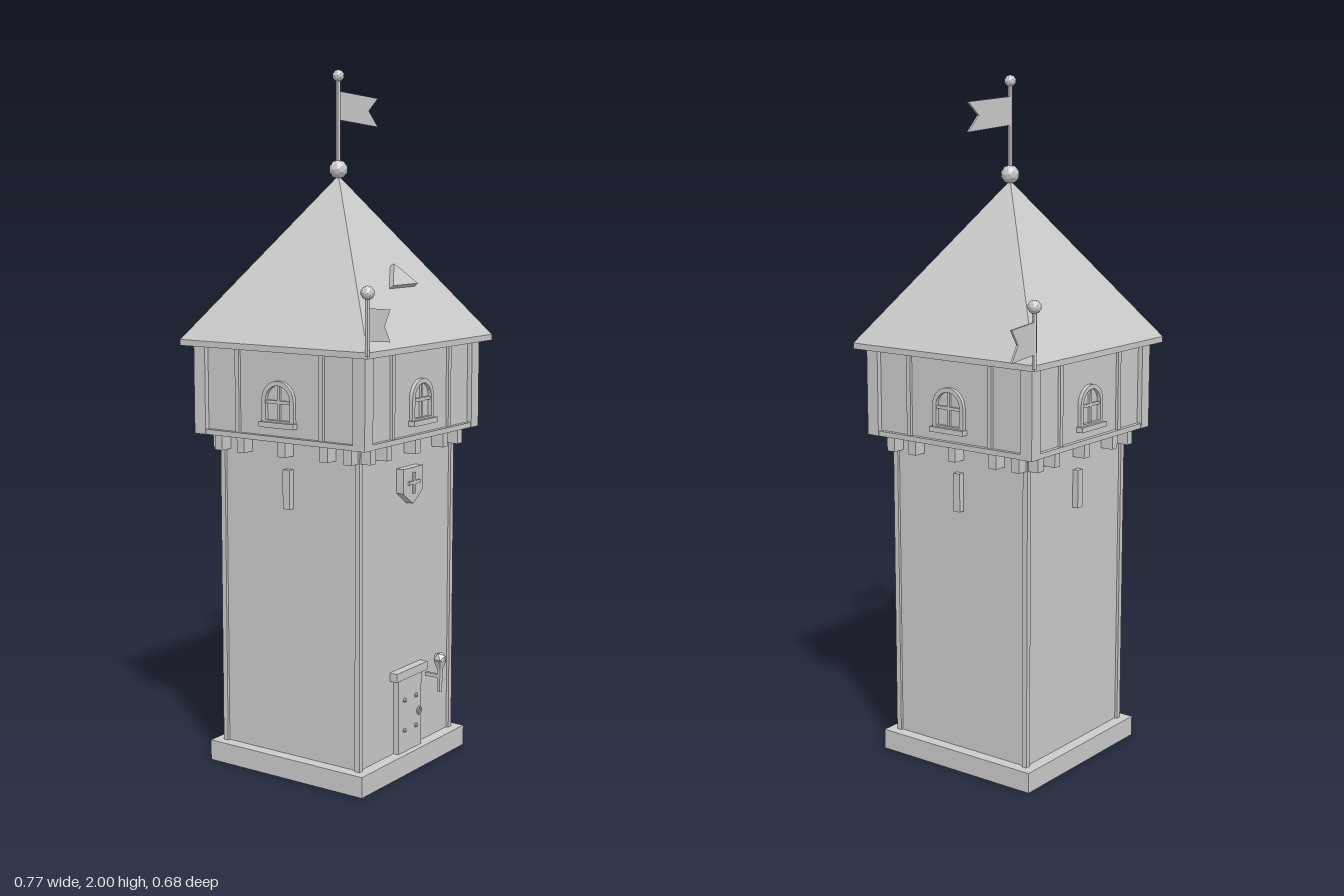
import * as THREE from 'three';

export function createModel() {
  const stone = new THREE.MeshStandardMaterial({ color: 0xcccccc, flatShading: true, side: THREE.DoubleSide });
  stone.name = 'pale grey';

  const model = new THREE.Group();
  model.name = 'watchtower';
  const tower = new THREE.Group();
  tower.name = 'tower';
  tower.position.x = -0.043;
  model.add(tower);

  const add = (parent, name, geo, x = 0, y = 0, z = 0) => {
    const m = new THREE.Mesh(geo, stone);
    m.name = name;
    m.position.set(x, y, z);
    parent.add(m);
    return m;
  };
  // Box given by its centre in x and z and its bottom and top heights
  const box = (parent, name, w, y0, y1, d, x = 0, z = 0) =>
    add(parent, name, new THREE.BoxGeometry(w, y1 - y0, d), x, (y0 + y1) / 2, z);
  const polygon = (pts) => new THREE.Shape(pts.map(([x, y]) => new THREE.Vector2(x, y)));
  const plate = (shape, depth) =>
    new THREE.ExtrudeGeometry(shape, { depth, bevelEnabled: false, curveSegments: 8 });
  const square = (rTop, rBottom, h, open) => {
    const k = Math.SQRT2;
    return new THREE.CylinderGeometry(rTop * k, rBottom * k, h, 4, 1, open).rotateY(Math.PI / 4);
  };

  // Plinth, hollow underneath, and the main shaft
  add(tower, 'plinthWalls', square(0.27, 0.27, 0.06, true), 0, 0.03, 0);
  add(tower, 'plinthTop', new THREE.PlaneGeometry(0.54, 0.54).rotateX(-Math.PI / 2), 0, 0.06, 0);
  box(tower, 'shaft', 0.47, 0.06, 0.98, 0.47);

  // Upper room and roof
  box(tower, 'upperRoom', 0.56, 0.98, 1.23, 0.56);
  box(tower, 'roomSill', 0.586, 0.975, 0.99, 0.586);
  box(tower, 'eaves', 0.644, 1.228, 1.245, 0.644);
  add(tower, 'roof', square(0, 0.322, 0.46, false), 0, 1.475, 0);

  // Corner posts of the shaft and the upper room
  for (const sx of [-1, 1]) for (const sz of [-1, 1]) {
    box(tower, 'shaftCorner', 0.016, 0.06, 0.98, 0.016, sx * 0.235, sz * 0.235);
    box(tower, 'roomPost', 0.04, 0.975, 1.23, 0.04, sx * 0.275, sz * 0.275);
  }

  // Arched window: frame with a hole, pane bars and ledge
  const arch = (r, bottom, spring, Type) => {
    const s = new Type();
    s.moveTo(-r, bottom);
    s.lineTo(r, bottom);
    s.lineTo(r, spring);
    s.absarc(0, spring, r, 0, Math.PI, false);
    s.lineTo(-r, bottom);
    return s;
  };
  const frame = arch(0.055, 1.025, 1.09, THREE.Shape);
  frame.holes.push(arch(0.042, 1.035, 1.09, THREE.Path));
  const frameGeo = plate(frame, 0.012);

  // Details repeated on each of the four sides
  ['front', 'left', 'back', 'right'].forEach((label, i) => {
    const side = new THREE.Group();
    side.name = label + 'Side';
    side.rotation.y = i * Math.PI / 2;
    tower.add(side);
    add(side, 'windowFrame', frameGeo, 0, 0, 0.279);
    box(side, 'windowMullion', 0.009, 1.03, 1.135, 0.008, 0, 0.283);
    box(side, 'windowBar', 0.09, 1.081, 1.09, 0.008, 0, 0.283);
    box(side, 'windowLedge', 0.12, 1.015, 1.03, 0.024, 0, 0.288);
    for (const x of [-0.145, 0.145]) box(side, 'wallStud', 0.014, 0.985, 1.23, 0.012, x, 0.282);
    for (const x of [-0.145, 0, 0.145]) box(side, 'corbel', 0.026, 0.93, 0.98, 0.045, x, 0.252);
    for (const x of [-0.225, 0.225]) box(side, 'cornerCorbel', 0.026, 0.93, 0.98, 0.045, x, 0.252);
    if (i > 0) box(side, 'arrowSlit', 0.024, 0.78, 0.892, 0.02, 0, 0.243);
  });

  // Shield with a plain cross
  const shield = polygon([[-0.05, 0.89], [-0.05, 0.82], [0, 0.785], [0.05, 0.82], [0.05, 0.89]]);
  add(tower, 'shield', plate(shield, 0.025), 0, 0, 0.234);
  box(tower, 'shieldUpright', 0.01, 0.815, 0.875, 0.008, 0, 0.261);
  box(tower, 'shieldCrossbar', 0.055, 0.842, 0.852, 0.008, 0, 0.261);

  // Door with lintel, nails and ring
  box(tower, 'door', 0.12, 0.06, 0.28, 0.02, 0, 0.242);
  box(tower, 'lintel', 0.16, 0.28, 0.305, 0.034, 0, 0.243);
  for (const x of [-0.03, 0.03]) for (const y of [0.125, 0.215]) {
    add(tower, 'doorNail', new THREE.IcosahedronGeometry(0.007, 0), x, y, 0.253);
  }
  add(tower, 'doorRing', new THREE.TorusGeometry(0.01, 0.003, 5, 8), 0.045, 0.165, 0.255);

  // Torch on a wall bracket beside the door
  const torch = new THREE.Group();
  torch.name = 'torch';
  torch.position.set(0.114, 0, 0.282);
  tower.add(torch);
  add(torch, 'torchHandle', new THREE.CylinderGeometry(0.01, 0.007, 0.075, 6), 0, 0.247, 0);
  add(torch, 'torchCup', new THREE.CylinderGeometry(0.02, 0.01, 0.025, 6), 0, 0.29, 0);
  add(torch, 'torchFlame', new THREE.IcosahedronGeometry(0.021, 0), 0, 0.308, 0);
  box(torch, 'torchBracket', 0.01, 0.25, 0.26, 0.05, 0, -0.025);

  // Triangular dormer lying on the front roof slope
  const dormer = add(tower, 'dormer', plate(polygon([[-0.063, 0], [0.063, 0], [0, 0.07]]), 0.035), 0, 1.384, 0.202);
  dormer.rotation.x = -Math.atan(0.322 / 0.46);

  // Flagpoles with ball tops and swallow-tailed flags
  const flagpole = (name, x, z, y0, y1, ball, flagPoints) => {
    const g = new THREE.Group();
    g.name = name;
    g.position.set(x, 0, z);
    tower.add(g);
    add(g, 'pole', new THREE.CylinderGeometry(0.007, 0.007, y1 - y0, 6), 0, (y0 + y1) / 2, 0);
    add(g, 'poleBall', new THREE.IcosahedronGeometry(ball, 1), 0, y1, 0);
    add(g, 'flag', plate(polygon(flagPoints), 0.006), 0, 0, -0.003);
  };
  add(tower, 'roofBall', new THREE.IcosahedronGeometry(0.027, 1), 0, 1.722, 0);
  flagpole('roofFlag', 0, 0, 1.7, 1.983, 0.017,
    [[0, 1.86], [0.195, 1.845], [0.148, 1.89], [0.195, 1.927], [0, 1.94]]);
  for (const s of [-1, 1]) {
    flagpole('cornerFlag', s * 0.322, -s * 0.322, 1.235, 1.402, 0.019,
      [[0, 1.275], [0.103, 1.265], [0.076, 1.31], [0.103, 1.352], [0, 1.362]]);
  }
  return model;
}
